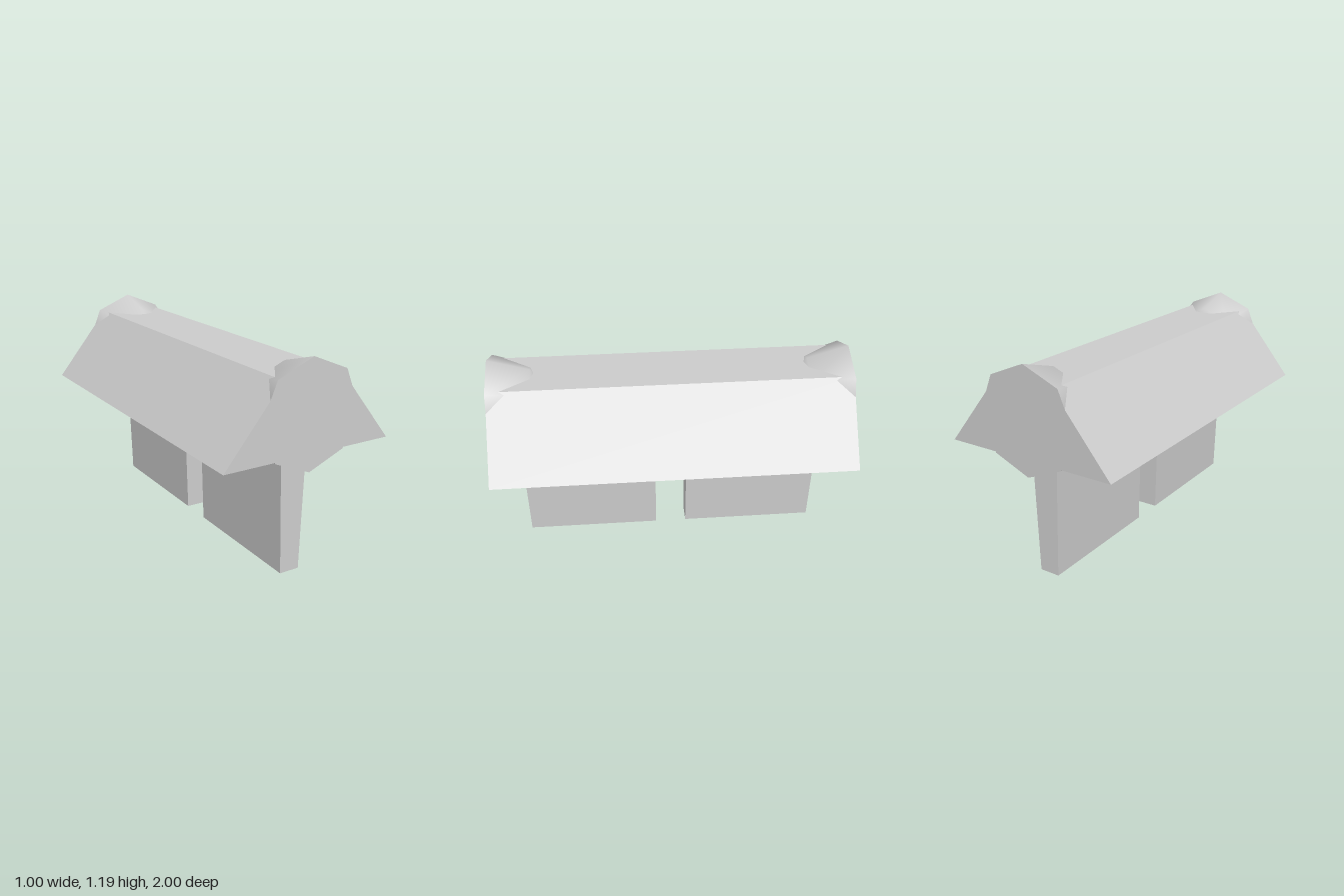
import * as THREE from 'three';

const material = new THREE.MeshStandardMaterial({ color: 0xcccccc });

// Extrudes an outline in x/y between two z positions
function prism(name, corners, z0, z1) {
  const shape = new THREE.Shape(corners.map(([x, y]) => new THREE.Vector2(x, y)));
  const geometry = new THREE.ExtrudeGeometry(shape, { depth: z1 - z0, bevelEnabled: false });
  geometry.translate(0, 0, z0);
  const mesh = new THREE.Mesh(geometry, material);
  mesh.name = name;
  return mesh;
}

// Octagonal flared collar with a shallow inner dome and a flat outer face
function endCollar(name, angle) {
  const group = new THREE.Group();
  group.name = name;
  const profile = [[0, 0.66], [0.15, 0.72], [0.225, 0.773], [0.293, 1]];
  const flare = new THREE.LatheGeometry(profile.map(([r, h]) => new THREE.Vector2(r, h)), 8);
  flare.rotateX(Math.PI / 2);
  const flareMesh = new THREE.Mesh(flare, material);
  flareMesh.name = 'collarFlare';
  const face = new THREE.CircleGeometry(0.293, 8, Math.PI / 2);
  face.translate(0, 0, 1);
  const faceMesh = new THREE.Mesh(face, material);
  faceMesh.name = 'collarFace';
  group.add(flareMesh, faceMesh);
  group.position.y = 0.9;
  group.rotation.y = angle;
  return group;
}

export function createModel() {
  const model = new THREE.Group();
  model.name = 'ridgedBeamOnLegs';

  // Long trapezoidal beam
  model.add(prism('beam', [[-0.5, 0.7], [0.5, 0.7], [0.175, 1.1], [-0.175, 1.1]], -1, 1));

  // Collars at both ends
  model.add(endCollar('frontCollar', 0), endCollar('backCollar', Math.PI));

  // Two slab legs, narrowing towards the ground
  const leg = [[-0.058, 0], [0.058, 0], [0.08, 0.72], [-0.08, 0.72]];
  model.add(prism('frontLeg', leg, 0.093, 0.873));
  model.add(prism('backLeg', leg, -0.873, -0.093));

  return model;
}
